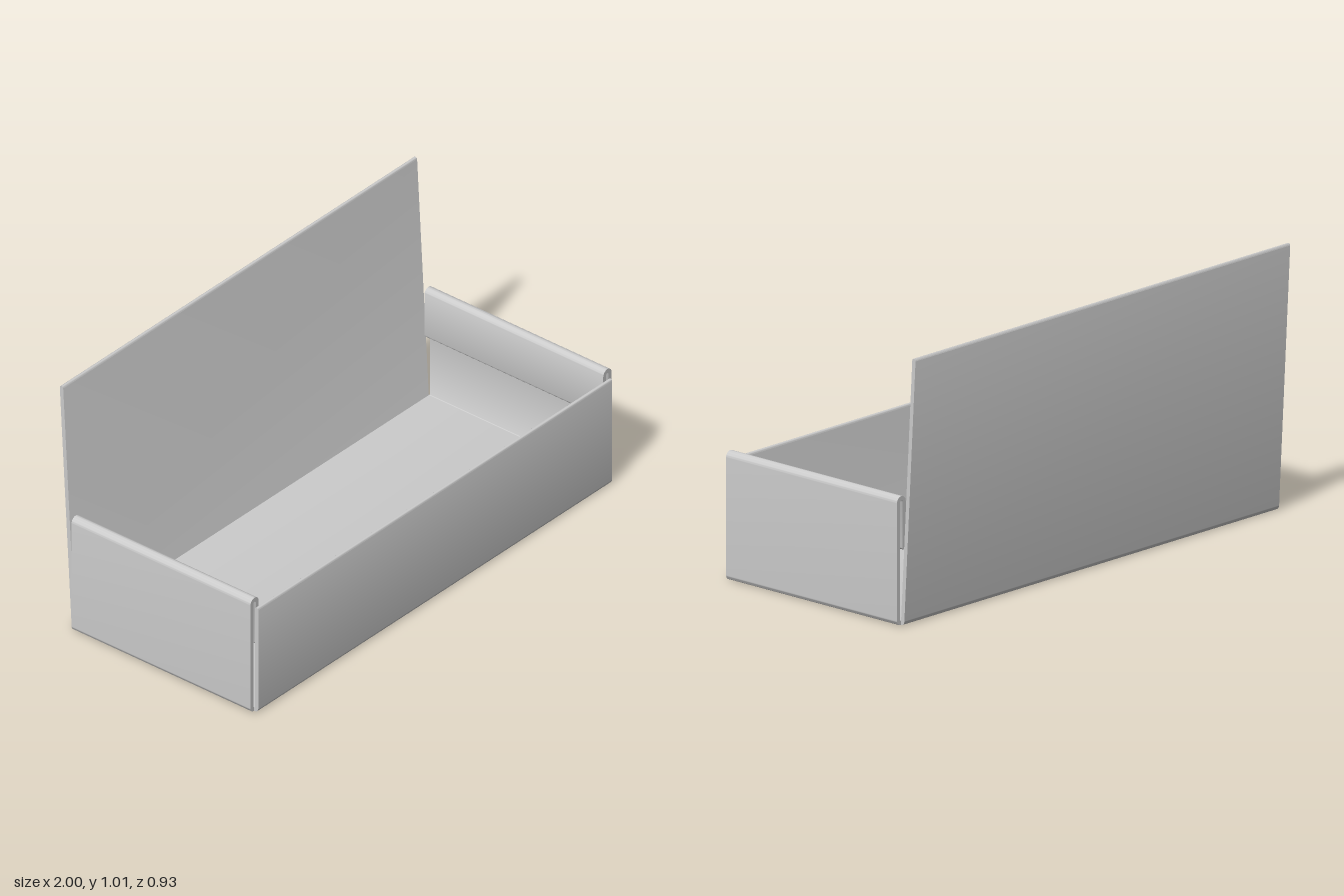
import * as THREE from 'three';
import { toCreasedNormals } from 'three/addons/utils/BufferGeometryUtils.js';

const T = 0.016; // sheet thickness
const material = new THREE.MeshStandardMaterial({ color: 0xcccccc });

// Folded sheet: thickens a centre line into a closed outline with round ends, then extrudes it
function foldedSheet(path, length) {
  const pts = path.getPoints(10).filter((p, i, a) => i === 0 || p.distanceTo(a[i - 1]) > 1e-5);
  const h = T / 2, left = [], right = [];
  const dir = (a, b) => b.clone().sub(a).normalize();
  pts.forEach((p, i) => {
    const d0 = dir(pts[Math.max(i - 1, 0)], pts[Math.max(i, 1)]);
    const d1 = i < pts.length - 1 ? dir(p, pts[i + 1]) : d0;
    const t = d0.clone().add(d1).normalize();
    const n = new THREE.Vector2(-t.y, t.x).multiplyScalar(h / Math.max(t.dot(d1), 0.5));
    left.push(p.clone().add(n));
    right.unshift(p.clone().sub(n));
  });
  // Half-round cap, running from the left side to the right side of an end
  const cap = (c, from) => [1, 2, 3, 4, 5].map((k) => from.clone().rotateAround(c, -k * Math.PI / 6));
  const endCap = cap(pts[pts.length - 1], left[left.length - 1]);
  const startCap = cap(pts[0], right[right.length - 1]);
  const shape = new THREE.Shape([...left, ...endCap, ...right, ...startCap]);
  const geo = new THREE.ExtrudeGeometry(shape, { depth: length, bevelEnabled: false });
  return toCreasedNormals(geo, 0.7);
}

function add(group, name, geo) {
  const mesh = new THREE.Mesh(geo, material);
  mesh.name = name;
  group.add(mesh);
}

export function createModel() {
  const group = new THREE.Group();
  group.name = 'openFoldedBox';

  // Front panel, floor and tilted back panel folded from one sheet (path in z, y)
  const base = new THREE.Path();
  base.moveTo(0.455, 0.441);
  base.lineTo(0.455, 0.023);
  base.quadraticCurveTo(0.455, 0.013, 0.445, 0.013);
  base.lineTo(-0.391, 0.013);
  base.quadraticCurveTo(-0.401, 0.013, -0.4016, 0.023);
  base.lineTo(-0.456, 1.003);
  const baseGeo = foldedSheet(base, 1.96);
  baseGeo.rotateY(-Math.PI / 2);
  baseGeo.translate(0.98, 0, 0);
  add(group, 'frontFloorAndBackPanel', baseGeo);

  // Side walls rolled over at the top into a short inner flap (path in x, y)
  for (const s of [1, -1]) {
    const side = new THREE.Path();
    side.moveTo(s * 0.965, 0.013);
    side.lineTo(s * 0.98, 0.013);
    side.quadraticCurveTo(s * 0.992, 0.013, s * 0.992, 0.025);
    side.lineTo(s * 0.992, 0.462);
    side.absarc(s * 0.977, 0.462, 0.015, s > 0 ? 0 : Math.PI, s > 0 ? Math.PI : 0, s < 0);
    side.lineTo(s * 0.962, 0.29);
    const geo = foldedSheet(side, 0.835);
    geo.translate(0, 0, -0.392);
    add(group, s > 0 ? 'leftSideWall' : 'rightSideWall', geo);
  }
  return group;
}
